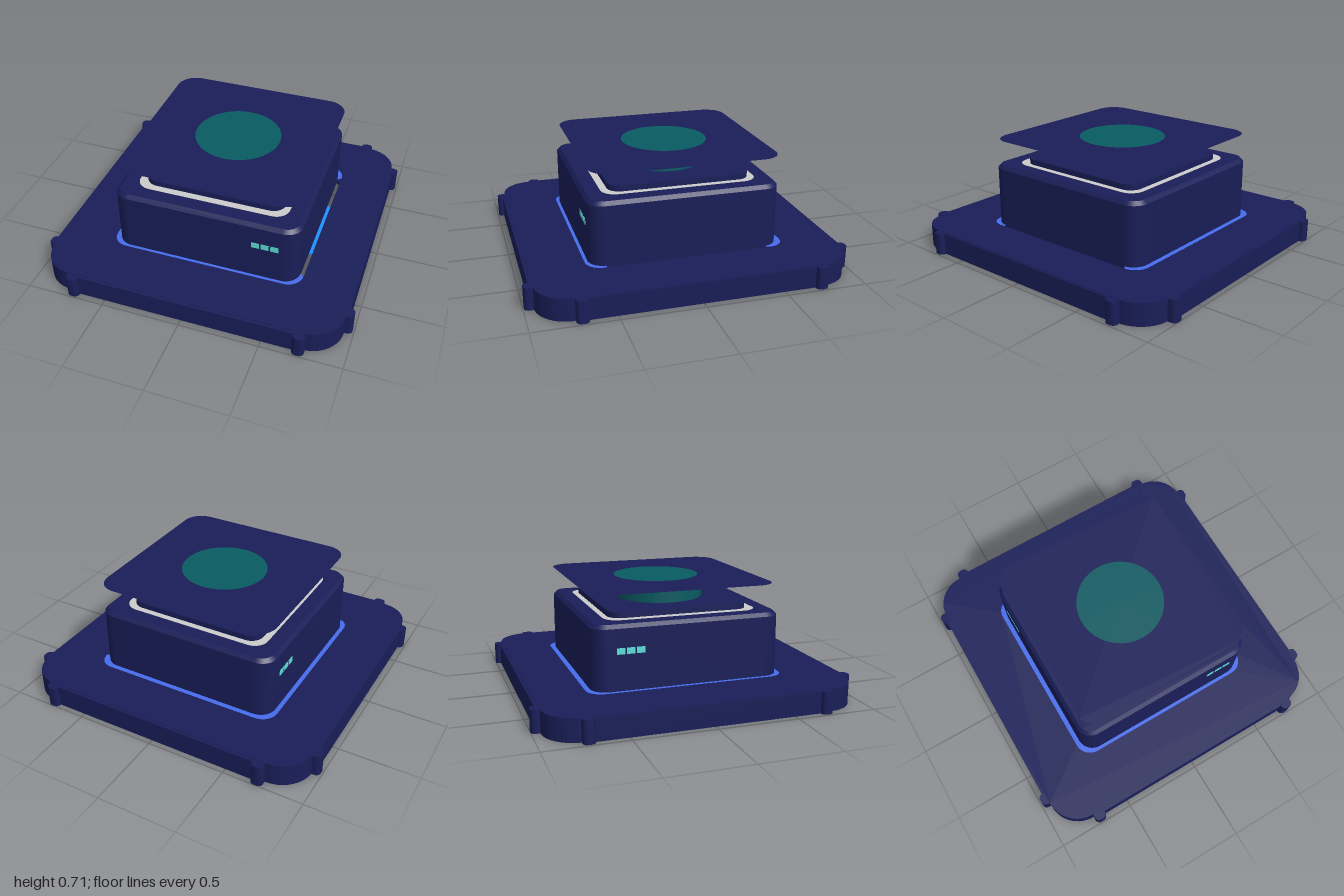
import * as THREE from 'three';

const mat = (color) => new THREE.MeshStandardMaterial({ color, side: THREE.DoubleSide });
const navy = mat(0x191e58), teal = mat(0x095b62), blue = mat(0x456cec);
const azure = mat(0x1e90ff), cyan = mat(0x5ce0d8), grey = mat(0xcccccc);

// Common centre of the upper parts
const CX = 0.01, CZ = -0.012;

// Rounded square outline with half size h and corner radius r, centred on (x, y)
function roundedSquare(h, r, Type = THREE.Shape, x = 0, y = 0) {
  const s = new Type(), c = h - r;
  s.moveTo(x + h, y - c);
  s.absarc(x + c, y + c, r, 0, Math.PI / 2);
  s.absarc(x - c, y + c, r, Math.PI / 2, Math.PI);
  s.absarc(x - c, y - c, r, Math.PI, Math.PI * 1.5);
  s.absarc(x + c, y - c, r, Math.PI * 1.5, Math.PI * 2);
  return s;
}

// Horizontal slab from y0 to y1, with an optional bevel
function slab(shape, y0, y1, bevel = 0, segments = 6) {
  const g = new THREE.ExtrudeGeometry(shape, {
    depth: y1 - y0 - 2 * bevel, curveSegments: segments,
    bevelEnabled: bevel > 0, bevelSize: bevel, bevelOffset: -bevel,
    bevelThickness: bevel, bevelSegments: 1,
  });
  g.rotateX(-Math.PI / 2);
  g.translate(0, y0 + bevel, 0);
  return g;
}

export function createModel() {
  const model = new THREE.Group();
  const add = (name, geometry, material, x = 0, y = 0, z = 0, parent = model) => {
    const m = new THREE.Mesh(geometry, material);
    m.name = name;
    m.position.set(x, y, z);
    parent.add(m);
    return m;
  };

  // Hollow base frame: lower lip, outer wall and top deck
  const frame = (name, holeHalf, y0, y1) => {
    const s = roundedSquare(0.945, 0.2);
    s.holes.push(roundedSquare(holeHalf, 0.1, THREE.Path, 0.008, 0.014));
    add(name, slab(s, y0, y1, 0, 5), navy, 0, 0, -0.004);
  };
  frame('baseLip', 0.63, 0, 0.02);
  frame('baseWall', 0.82, 0.02, 0.1);
  frame('baseDeck', 0.622, 0.1, 0.14);

  // Slightly raised straight sides of the base, each ending in a pair of ribs
  const rib = slab(roundedSquare(0.037, 0.028), 0, 0.138);
  for (const s of [-1, 1]) {
    add('baseSide', new THREE.BoxGeometry(1.43, 0.136, 0.05), navy, 0.01, 0.069, s * 0.94 - 0.004);
    add('baseSide', new THREE.BoxGeometry(0.05, 0.136, 1.43), navy, s * 0.935 - 0.002, 0.069, -0.014);
    for (const a of [-0.715, 0.715]) {
      add('baseRib', rib, navy, a + 0.01, 0, s * 0.96 - 0.003);
      add('baseRib', rib, navy, s * 0.953, 0, a - 0.014);
    }
  }

  // Blue trim strip around the housing, open on the left side
  const o = 0.63, i = 0.58, k = 0.11, e = 0.53;
  const trim = new THREE.Shape();
  trim.moveTo(o, -e);
  trim.quadraticCurveTo(o, -o, o - k, -o);
  trim.lineTo(-o + k, -o);
  trim.quadraticCurveTo(-o, -o, -o, -o + k);
  trim.lineTo(-o, o - k);
  trim.quadraticCurveTo(-o, o, -o + k, o);
  trim.lineTo(o - k, o);
  trim.quadraticCurveTo(o, o, o, e);
  trim.lineTo(i, e - 0.04);
  trim.quadraticCurveTo(i, i, i - k, i);
  trim.lineTo(-i + k, i);
  trim.quadraticCurveTo(-i, i, -i, i - k);
  trim.lineTo(-i, -i + k);
  trim.quadraticCurveTo(-i, -i, -i + k, -i);
  trim.lineTo(i - k, -i);
  trim.quadraticCurveTo(i, -i, i, -e + 0.04);
  trim.closePath();
  add('trimStrip', slab(trim, 0.128, 0.138), blue, 0.008, 0, -0.018);

  // Housing with chamfered top
  add('housing', slab(roundedSquare(0.595, 0.1), 0.1, 0.535, 0.022, 8), navy, CX, 0, CZ);

  // Pale inlay and raised step on top
  add('topInlay', slab(roundedSquare(0.485, 0.09), 0.53, 0.5365), grey, CX, 0, CZ);
  add('topStep', slab(roundedSquare(0.445, 0.08), 0.53, 0.572), navy, 0.014, 0, -0.016);

  // Short column, with a thin sheet and its round centre floating above
  const disc = new THREE.CylinderGeometry(0.28, 0.28, 0.07, 48);
  add('topDisc', disc, teal, 0.012, 0.607, -0.014);
  const sheet = new THREE.ShapeGeometry(roundedSquare(0.587, 0.125), 8);
  sheet.rotateX(-Math.PI / 2);
  add('topSheet', sheet, navy, 0.022, 0.705, -0.022);
  const spot = new THREE.CircleGeometry(0.273, 48);
  spot.rotateX(-Math.PI / 2);
  add('sheetCentre', spot, teal, 0.028, 0.707, -0.028);

  // Underside: plate, disc and four blue pads
  add('bottomPlate', slab(roundedSquare(0.515, 0.09), 0.085, 0.101), grey, CX, 0, CZ);
  add('bottomDisc', disc, teal, CX, 0.09, -0.025);
  const pads = new THREE.Group();
  pads.name = 'bottomPads';
  pads.position.set(CX, 0.075, -0.02);
  model.add(pads);
  for (let n = 0; n < 4; n++) {
    const pivot = new THREE.Group();
    pivot.name = 'pad';
    pivot.rotation.y = n * Math.PI / 2;
    pads.add(pivot);
    add('padPlate', new THREE.BoxGeometry(0.38, 0.012, 0.5), azure, 0.575, 0, 0, pivot);
  }

  // Indicator lights on the front and on the right side
  for (let n = 0; n < 3; n++) {
    const d = (n - 1) * 0.06;
    add('frontLight', new THREE.BoxGeometry(0.05, 0.038, 0.01), cyan, 0.4 + d, 0.379, CZ + 0.592);
    add('sideLight', new THREE.BoxGeometry(0.01, 0.038, 0.05), cyan, CX - 0.592, 0.379, -0.38 + d);
  }
  return model;
}
